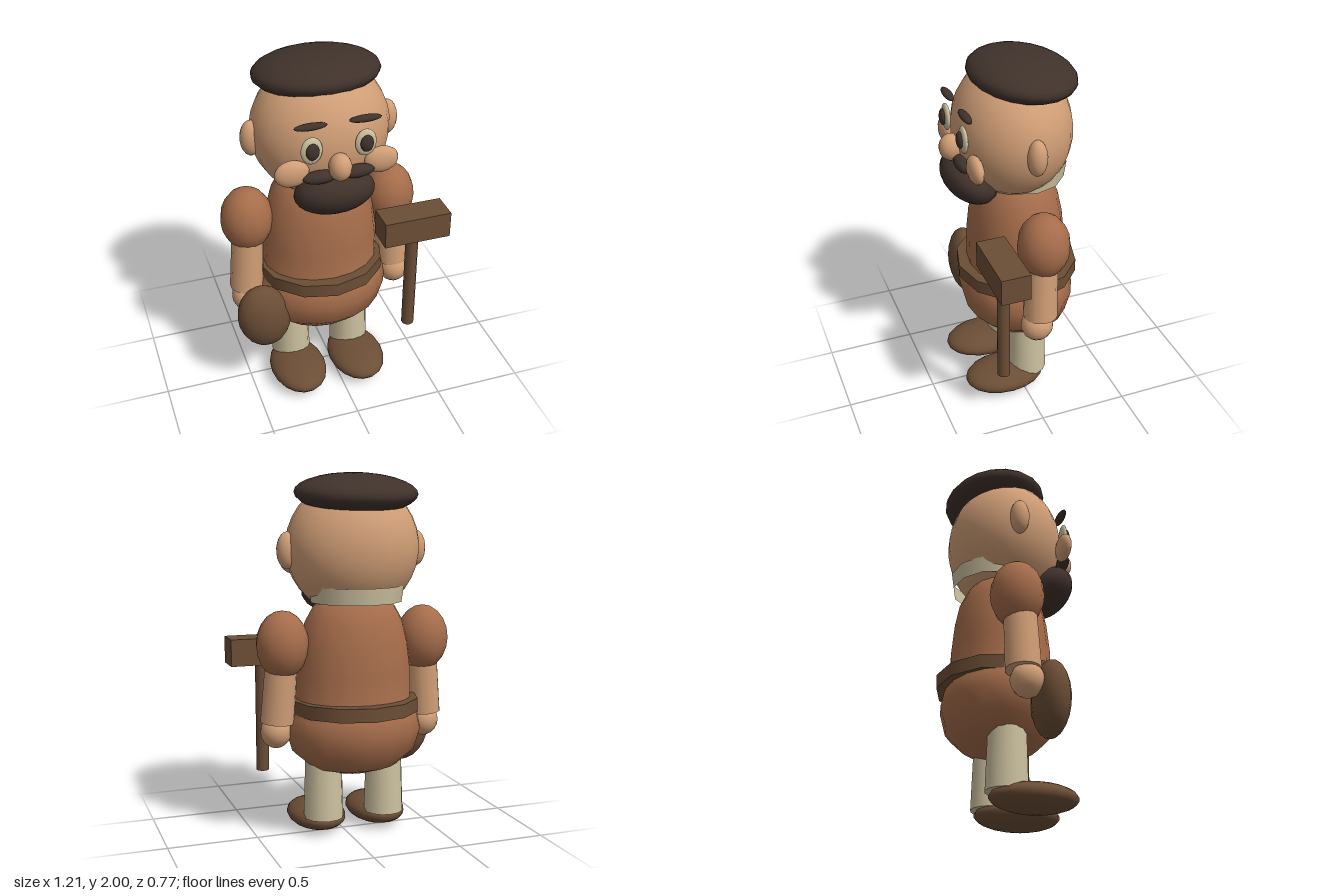
import * as THREE from 'three';

const CX = -0.053; // the figure's own centre line

const mat = (name, color, side = THREE.FrontSide) => {
  const m = new THREE.MeshStandardMaterial({ color, side });
  m.name = name;
  return m;
};

export function createModel() {
  const skin = mat('skin', 0xd09e76);
  const hair = mat('dark brown hair', 0x40322b);
  const tunic = mat('rust tunic', 0xa66d4b);
  const cloth = mat('cream cloth', 0xcdc1a0, THREE.DoubleSide);
  const leather = mat('brown leather', 0x6c4e36);

  const model = new THREE.Group();
  model.name = 'craftsman';
  const figure = new THREE.Group();
  figure.name = 'figure';
  figure.position.x = CX;
  model.add(figure);

  const add = (parent, name, geometry, material, pos, rot = [0, 0, 0]) => {
    const mesh = new THREE.Mesh(geometry, material);
    mesh.name = name;
    mesh.position.set(...pos);
    mesh.rotation.set(...rot);
    parent.add(mesh);
    return mesh;
  };
  // Ellipsoid given by its three radii
  const blob = (parent, name, material, pos, radii, rot, seg = 16) =>
    add(parent, name, new THREE.SphereGeometry(1, seg, Math.round(seg * 0.7)).scale(...radii), material, pos, rot);
  // Round limb between two points
  const limb = (parent, name, material, top, bottom, rTop, rBottom, seg = 14) => {
    const a = new THREE.Vector3(...top), b = new THREE.Vector3(...bottom);
    const axis = a.clone().sub(b);
    const mesh = add(parent, name, new THREE.CylinderGeometry(rTop, rBottom, axis.length(), seg), material,
      a.clone().add(b).multiplyScalar(0.5).toArray());
    mesh.quaternion.setFromUnitVectors(new THREE.Vector3(0, 1, 0), axis.normalize());
    return mesh;
  };

  // Body: tunic swelling out below the belt
  const profile = [[0, 0.345], [0.12, 0.355], [0.25, 0.395], [0.35, 0.48], [0.385, 0.6], [0.365, 0.68],
    [0.325, 0.76], [0.325, 0.92], [0.305, 1.08], [0.275, 1.2], [0.23, 1.28], [0.17, 1.34], [0, 1.36]];
  const body = new THREE.LatheGeometry(profile.map(([x, y]) => new THREE.Vector2(x, y)), 18).scale(1, 1, 0.83);
  add(figure, 'tunic', body, tunic, [0, 0, -0.04]);
  add(figure, 'belt', new THREE.CylinderGeometry(0.36, 0.36, 0.075, 12).scale(1, 1, 0.945), leather, [0, 0.738, -0.045]);
  add(figure, 'collar', new THREE.CylinderGeometry(0.268, 0.255, 0.09, 12, 1, true).scale(1, 1, 0.93), cloth, [0, 1.355, -0.068]);

  // Head and flat cap of hair
  blob(figure, 'head', skin, [0, 1.6, -0.018], [0.373, 0.37, 0.318], undefined, 24);
  blob(figure, 'hairCap', hair, [0, 1.892, -0.075], [0.341, 0.108, 0.285], [-0.09, 0, 0], 20);
  blob(figure, 'nose', skin, [0, 1.535, 0.318], [0.06, 0.075, 0.065]);
  blob(figure, 'beard', hair, [0, 1.34, 0.225], [0.218, 0.12, 0.16], [-0.6, 0, 0], 20);

  // Paired parts
  for (const s of [1, -1]) {
    const side = new THREE.Group();
    side.name = s > 0 ? 'leftSide' : 'rightSide';
    figure.add(side);
    blob(side, 'ear', skin, [s * 0.372, 1.59, -0.016], [0.058, 0.1, 0.053]);
    blob(side, 'eyeWhite', cloth, [s * 0.142, 1.64, 0.295], [0.057, 0.075, 0.02]);
    blob(side, 'pupil', hair, [s * 0.142, 1.642, 0.313], [0.035, 0.046, 0.02]);
    blob(side, 'eyebrow', hair, [s * 0.142, 1.768, 0.283], [0.086, 0.018, 0.025]);
    blob(side, 'cheek', skin, [s * 0.238, 1.51, 0.267], [0.093, 0.074, 0.04]);
    blob(side, 'moustache', hair, [s * 0.1, 1.482, 0.295], [0.092, 0.035, 0.037]);
    // Arm
    blob(side, 'sleeve', tunic, [s * 0.41, 1.087, -0.043], [0.145, 0.185, 0.142], undefined, 14);
    limb(side, 'forearm', skin, [s * 0.412, 1.0, -0.03], [s * 0.436, 0.655, -0.02], 0.088, 0.094);
    blob(side, 'hand', skin, [s * 0.44, 0.6, 0], [0.087, 0.092, 0.09], undefined, 14);
    // Leg
    limb(side, 'trouserLeg', cloth, [s * 0.18, 0.48, -0.042], [s * 0.18, 0.1, -0.045], 0.1, 0.112);
    blob(side, 'shoe', leather, [s * 0.18, 0.078, 0.095], [0.161, 0.076, 0.233], undefined, 18);
  }

  // Pouch held in the right hand
  blob(model, 'pouch', leather, [-0.434, 0.535, 0.135], [0.15, 0.203, 0.1], [0, 0, 0.15]);

  // Mallet in front of the left hand
  const mallet = new THREE.Group();
  mallet.name = 'mallet';
  mallet.position.set(0.41, 0, 0.204);
  model.add(mallet);
  add(mallet, 'malletHead', new THREE.BoxGeometry(0.38, 0.15, 0.16), leather, [0, 1.025, 0]);
  add(mallet, 'malletHandle', new THREE.CylinderGeometry(0.036, 0.036, 0.66, 10), leather, [0, 0.66, 0]);

  return model;
}
